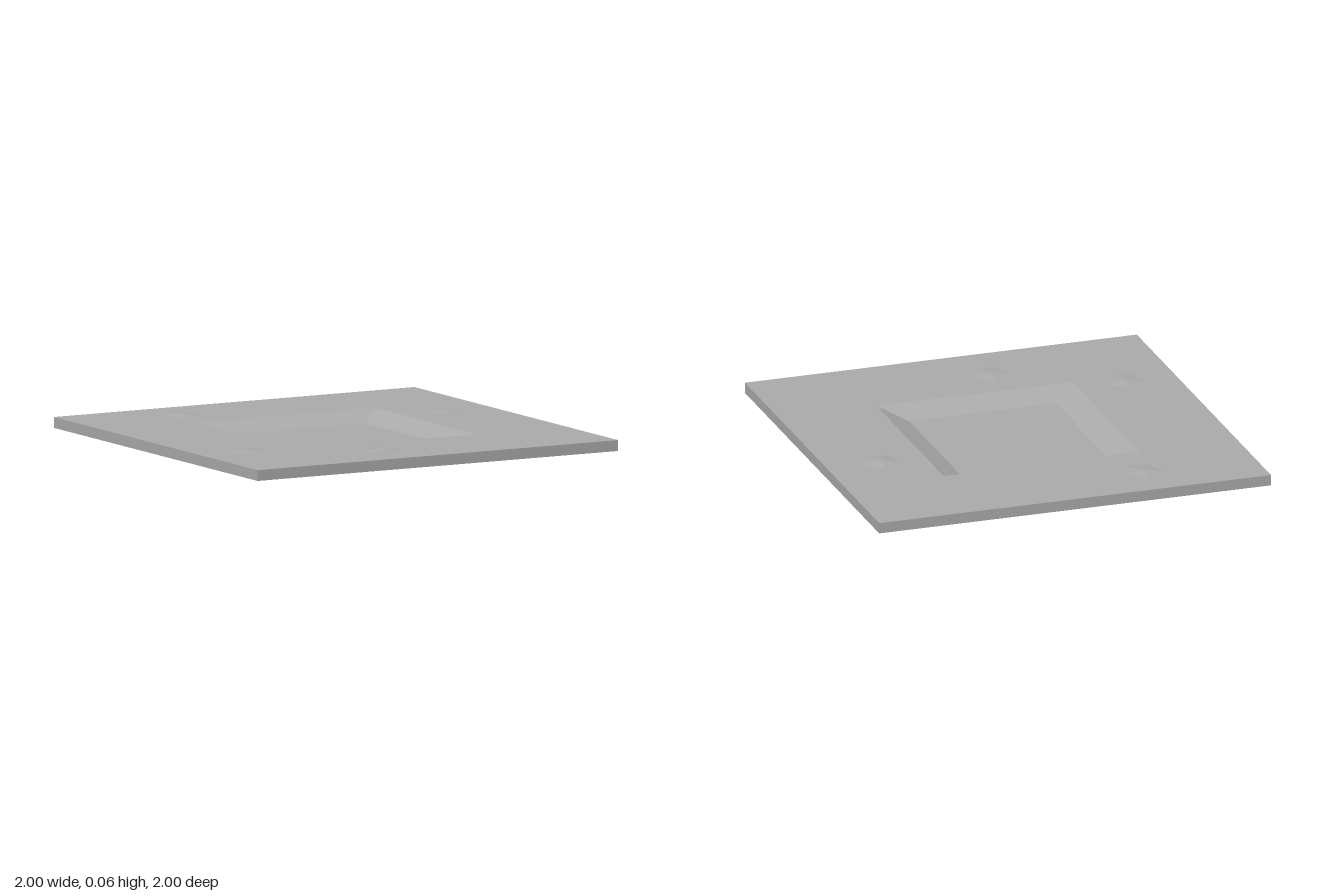
import * as THREE from 'three';

const TOP = 0.053;   // height of the slab surface
const FLOOR = 0.002; // height of the sunken floor

export function createModel() {
  const group = new THREE.Group();
  const stone = new THREE.MeshStandardMaterial({ color: 0xaaaaaa, flatShading: true, side: THREE.DoubleSide });
  stone.name = 'stone grey';

  function add(name, geometry, x = 0, y = 0, z = 0) {
    const flat = geometry.index ? geometry.toNonIndexed() : geometry;
    flat.computeVertexNormals();
    const mesh = new THREE.Mesh(flat, stone);
    mesh.name = name;
    mesh.position.set(x, y, z);
    group.add(mesh);
  }

  // Four-sided band between two squares, given as [half width, height]
  function squareBand(name, ...rings) {
    const points = rings.map(([half, y]) => new THREE.Vector2(half * Math.SQRT2, y));
    add(name, new THREE.LatheGeometry(points, 4, Math.PI / 4));
  }

  // Slab open underneath, with a sloped square basin
  squareBand('outerWalls', [1, 0], [1, TOP]);
  squareBand('slabTop', [1, TOP], [0.5, TOP]);
  squareBand('basinSlopes', [0.5, TOP], [0.375, FLOOR]);
  add('basinFloor', new THREE.PlaneGeometry(0.75, 0.75).rotateX(-Math.PI / 2), 0, FLOOR, 0);

  // Low five-sided pebbles
  for (const [x, z] of [[-0.43, -0.75], [0.73, -0.22], [-0.74, 0.43], [-0.155, 0.73]]) {
    const pebble = new THREE.ConeGeometry(0.1, 0.011, 5, 1, true).rotateY(Math.PI);
    add('pebble', pebble, x, TOP + 0.0055, z);
  }

  // Thin flat patches lying on the slab
  for (const [x, z, r] of [[0.5, 0.76, 0.15], [-0.75, 0.15, 0.13], [0.35, -0.765, 0.16]]) {
    add('flatPatch', new THREE.CircleGeometry(r, 8).rotateX(-Math.PI / 2), x, TOP + 0.002, z);
  }
  return group;
}
